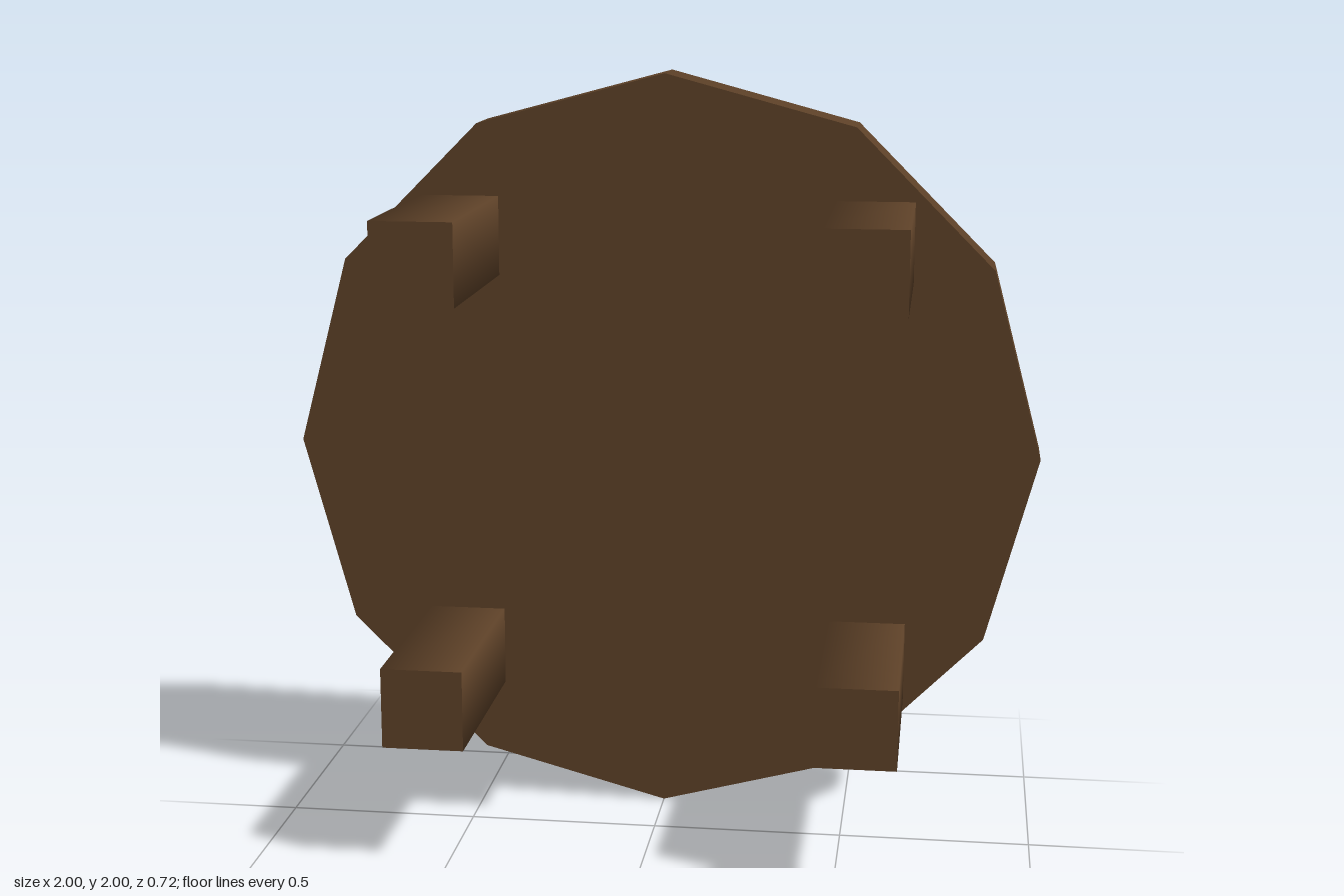
import * as THREE from 'three';

export function createModel() {
  const model = new THREE.Group();
  model.name = 'roundTable';
  const wood = new THREE.MeshStandardMaterial({ color: 0x5c4027 });
  wood.name = 'dark brown wood';

  // Prism along z, with smooth sides and flat ends
  function prism(name, radius, sides, turn, back, front) {
    const geometry = new THREE.CylinderGeometry(radius, radius, front - back, sides, 1, false, turn);
    geometry.rotateX(Math.PI / 2);
    const mesh = new THREE.Mesh(geometry, wood);
    mesh.name = name;
    mesh.position.z = (front + back) / 2;
    model.add(mesh);
    return mesh;
  }

  // Twelve-sided table top, standing on edge
  prism('tableTop', 1, 12, 0, -0.36, -0.2).position.y = 1;

  // Four square legs pointing forward
  for (const [sideName, sx] of [['Left', 1], ['Right', -1]]) {
    for (const [levelName, sy] of [['upper', 1], ['lower', -1]]) {
      const leg = prism(`${levelName}${sideName}Leg`, 0.149, 4, Math.PI / 4, -0.2, 0.36);
      leg.position.x = sx * 0.55;
      leg.position.y = 1 + sy * 0.57;
    }
  }
  return model;
}
